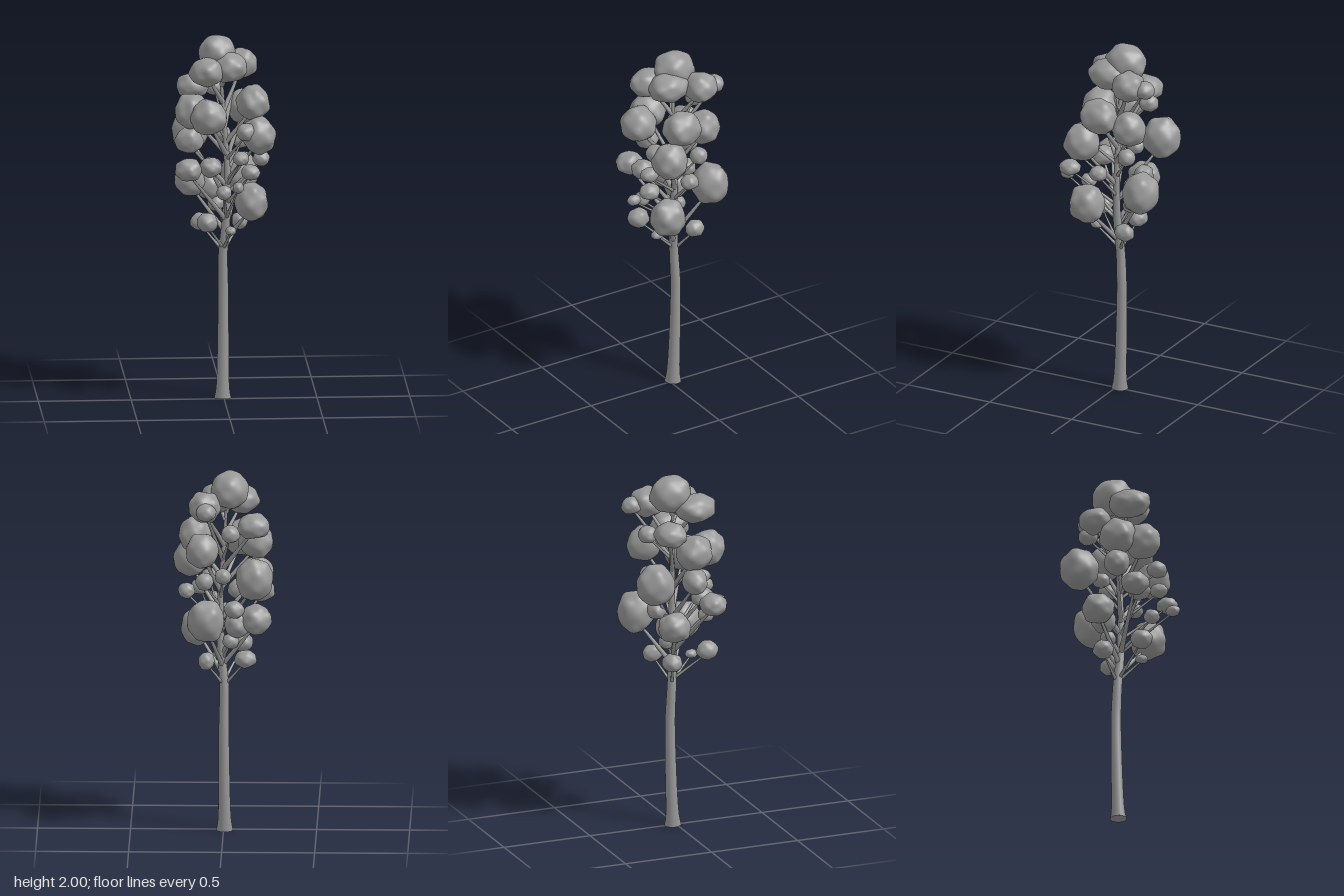
import * as THREE from 'three';
import { mergeVertices } from 'three/addons/utils/BufferGeometryUtils.js';

const V = (x, y, z) => new THREE.Vector3(x, y, z);

// Small seeded generator so every leaf clump gets its own fixed lumps
function seeded(seed) {
  let s = seed * 7919 + 17;
  return () => (s = (s * 16807) % 2147483647) / 2147483647;
}

// Smooth ellipsoid with many soft, rounded lumps
function clumpGeometry(rx, ry, rz, seed) {
  const rand = seeded(seed);
  rand();
  const count = 20, lobes = [];
  for (let i = 0; i < count; i++) {
    const h = 1 - (2 * (i + 0.5)) / count, a = i * 2.4 + rand() * 0.5 + seed, q = Math.sqrt(1 - h * h);
    lobes.push({ d: V(q * Math.cos(a), h, q * Math.sin(a)), k: 0.04 + rand() * 0.11 });
  }
  let g = new THREE.IcosahedronGeometry(1, rx > 0.06 ? 10 : 6);
  g.deleteAttribute('uv');
  g.deleteAttribute('normal');
  g = mergeVertices(g);
  const p = g.attributes.position, v = V(0, 0, 0);
  for (let i = 0; i < p.count; i++) {
    v.fromBufferAttribute(p, i);
    let r = 0.93;
    for (const { d, k } of lobes) r += k * Math.exp((v.dot(d) - 1) * 18);
    const flat = v.y < 0 ? 0.94 : 1;
    p.setXYZ(i, v.x * r * rx, v.y * r * ry * flat, v.z * r * rz);
  }
  g.computeVertexNormals();
  return g;
}

// Tube whose radius follows radiusAt(t)
function taperedTube(points, radiusAt, segments, sides) {
  const curve = new THREE.CatmullRomCurve3(points);
  const g = new THREE.TubeGeometry(curve, segments, 1, sides, false);
  const p = g.attributes.position, v = V(0, 0, 0);
  for (let i = 0; i < p.count; i++) {
    const t = Math.floor(i / (sides + 1)) / segments;
    const c = curve.getPointAt(t);
    v.fromBufferAttribute(p, i).sub(c).multiplyScalar(radiusAt(t)).add(c);
    p.setXYZ(i, v.x, v.y, v.z);
  }
  return g;
}

// Leaf clumps: x, y, z, rx, ry, rz
const bigClumps = [
  [-0.035, 1.89, -0.045, 0.103, 0.107, 0.115],
  [-0.095, 1.815, 0.07, 0.095, 0.08, 0.115],
  [0.03, 1.83, 0.03, 0.095, 0.085, 0.11],
  [0.1, 1.815, -0.13, 0.088, 0.085, 0.09],
  [0.09, 1.81, -0.22, 0.055, 0.05, 0.06],
  [-0.165, 1.705, -0.1, 0.09, 0.07, 0.09],
  [-0.175, 1.59, 0.03, 0.095, 0.1, 0.1],
  [-0.09, 1.58, 0.145, 0.098, 0.1, 0.1],
  [0.155, 1.63, 0.02, 0.09, 0.1, 0.105],
  [0.11, 1.575, -0.14, 0.09, 0.1, 0.095],
  [-0.17, 1.43, -0.19, 0.1, 0.12, 0.105],
  [0.18, 1.47, 0.11, 0.09, 0.105, 0.1],
  [0.09, 1.2, -0.2, 0.1, 0.12, 0.103],
  [-0.175, 1.18, -0.08, 0.085, 0.085, 0.09],
  [0.14, 1.1, 0.1, 0.09, 0.11, 0.1],
  [-0.2, 1.29, 0.135, 0.072, 0.065, 0.075],
  [-0.19, 1.43, 0.03, 0.075, 0.075, 0.07],
  [-0.075, 1.15, -0.08, 0.07, 0.075, 0.065],
  [-0.08, 1.3, 0.12, 0.062, 0.055, 0.065],
];
const smallClumps = [
  [-0.1, 1.0, 0.14, 0.058, 0.055, 0.06],
  [0.09, 0.955, -0.1, 0.045, 0.05, 0.055],
  [-0.12, 0.96, -0.07, 0.06, 0.05, 0.055],
  [0.03, 0.945, 0.1, 0.03, 0.025, 0.035],
  [-0.01, 1.17, 0.17, 0.042, 0.042, 0.045],
  [0.06, 1.22, 0.265, 0.03, 0.032, 0.04],
  [0.13, 1.29, 0.21, 0.052, 0.045, 0.06],
  [0.2, 1.32, 0.0, 0.045, 0.045, 0.05],
  [0.08, 1.36, 0.18, 0.045, 0.04, 0.05],
  [0.11, 1.5, 0.16, 0.055, 0.05, 0.055],
  [0.0, 1.43, -0.12, 0.045, 0.045, 0.05],
  [-0.04, 1.68, -0.18, 0.052, 0.05, 0.055],
  [0.1, 1.4, -0.12, 0.05, 0.05, 0.05],
  [-0.06, 1.25, -0.14, 0.055, 0.05, 0.05],
  [-0.04, 1.06, -0.07, 0.045, 0.045, 0.045],
];

export function createModel() {
  const tree = new THREE.Group();
  tree.name = 'tree';
  const grey = new THREE.MeshStandardMaterial({ color: 0x999999 });
  grey.name = 'plain grey';
  const add = (parent, name, geometry) => {
    const mesh = new THREE.Mesh(geometry, grey);
    mesh.name = name;
    parent.add(mesh);
    return mesh;
  };

  // Trunk with flared foot, running up into the crown
  const spine = [V(-0.006, 0, -0.021), V(-0.003, 0.3, -0.031), V(-0.002, 0.6, -0.035), V(-0.004, 0.8, -0.026),
    V(0.013, 1.0, -0.014), V(0.018, 1.25, -0.016), V(0, 1.55, -0.02), V(-0.02, 1.85, -0.03)];
  const trunkRadius = (t) => 0.034 * (1 - 0.27 * Math.min(t / 0.45, 1))
    * (t < 0.45 ? 1 : 1 - 0.72 * (t - 0.45) / 0.55) + 0.012 * Math.exp(-t * 45);
  add(tree, 'trunk', taperedTube(spine, trunkRadius, 60, 16));
  const foot = add(tree, 'trunkFoot', new THREE.CircleGeometry(0.046, 16));
  foot.rotation.x = Math.PI / 2;
  foot.position.set(-0.006, 0.001, -0.021);

  // Point on the trunk at a given height
  const spineCurve = new THREE.CatmullRomCurve3(spine);
  const samples = spineCurve.getSpacedPoints(200);
  const trunkAt = (y) => samples.reduce((a, b) => (Math.abs(b.y - y) < Math.abs(a.y - y) ? b : a));

  // Leaf clumps, each carried by its own upward-curving branch
  const foliage = new THREE.Group();
  foliage.name = 'foliage';
  const branches = new THREE.Group();
  branches.name = 'branches';
  tree.add(foliage, branches);
  [...bigClumps, ...smallClumps].forEach(([x, y, z, rx, ry, rz], i) => {
    const big = i < bigClumps.length;
    add(foliage, big ? 'leafClump' : 'smallLeafClump', clumpGeometry(rx, ry, rz, i + 1)).position.set(x, y, z);
    const reach = Math.hypot(x, z);
    const start = trunkAt(Math.max(0.79, y - 0.07 - reach * (big ? 1 : 0.6)));
    const end = V(x, y - ry * 0.3, z);
    const mid = start.clone().lerp(end, 0.5);
    const r = big ? 0.015 : 0.01;
    add(branches, 'branch', taperedTube([start, mid, end], (t) => r * (1 - 0.6 * t), 10, 7));
  });
  return tree;
}
